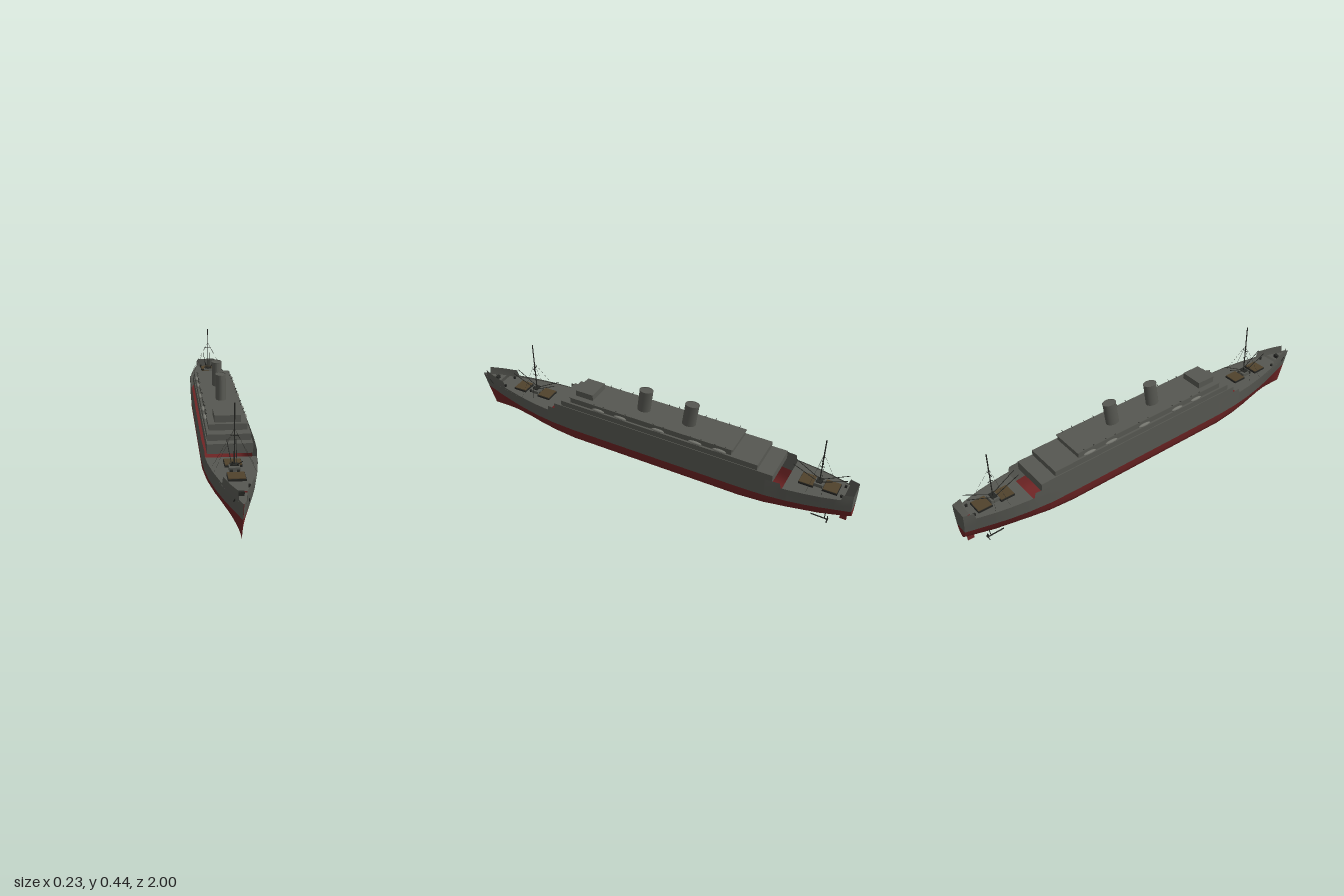
import * as THREE from 'three';

const mat = (name, color, side = THREE.FrontSide) => {
  const m = new THREE.MeshStandardMaterial({ color, side });
  m.name = name;
  return m;
};

export function createModel() {
  const ship = new THREE.Group();
  ship.name = 'ship';
  const grey = mat('hull grey', 0x565751, THREE.DoubleSide);
  const red = mat('bottom red', 0x6b2323, THREE.DoubleSide);
  const brown = mat('hatch brown', 0x50422c);
  const dark = mat('fitting black', 0x252623);
  const pale = mat('boat grey', 0x74756e);

  const add = (name, geo, material, x = 0, y = 0, z = 0) => {
    const m = new THREE.Mesh(geo, material);
    m.name = name;
    m.position.set(x, y, z);
    ship.add(m);
    return m;
  };
  // Box given by half width, bottom, top, front and back
  const block = (name, hw, y0, y1, zf, zb, material, x = 0) =>
    add(name, new THREE.BoxGeometry(hw * 2, y1 - y0, zf - zb), material, x, (y0 + y1) / 2, (zf + zb) / 2);
  // Thin round bar between two points
  const rod = (name, a, b, r, material = dark) => {
    const p = new THREE.Vector3(...a), q = new THREE.Vector3(...b);
    const m = add(name, new THREE.CylinderGeometry(r, r, p.distanceTo(q), 6), material);
    m.position.copy(p).add(q).multiplyScalar(0.5);
    m.quaternion.setFromUnitVectors(new THREE.Vector3(0, 1, 0), q.sub(p).normalize());
    return m;
  };
  // Surface through a list of cross-sections
  const loft = (rows) => {
    const n = rows[0].length, idx = [];
    for (let i = 0; i < rows.length - 1; i++)
      for (let j = 0; j < n - 1; j++) {
        const a = i * n + j, c = a + n;
        idx.push(a, a + 1, c, a + 1, c + 1, c);
      }
    const g = new THREE.BufferGeometry();
    g.setAttribute('position', new THREE.Float32BufferAttribute(rows.flat(2), 3));
    g.setIndex(idx);
    g.computeVertexNormals();
    return g;
  };

  // Hull stations: z, deck half width, waterline half width, keel height, V-ness
  const WL = 0.095;
  const stations = [
    [1, 0.001, 0.001, 0.002, 1], [0.95, 0.022, 0.013, 0.002, 1], [0.9, 0.04, 0.027, 0.002, 0.95],
    [0.8, 0.066, 0.053, 0.002, 0.8], [0.7, 0.087, 0.077, 0.002, 0.6], [0.6, 0.102, 0.096, 0.002, 0.35],
    [0.5, 0.11, 0.108, 0.002, 0.15], [0.38, 0.114, 0.114, 0.002, 0], [-0.5, 0.114, 0.114, 0.002, 0],
    [-0.62, 0.113, 0.111, 0.002, 0.15], [-0.72, 0.106, 0.1, 0.002, 0.4], [-0.8, 0.095, 0.086, 0.002, 0.65],
    [-0.86, 0.084, 0.072, 0.004, 0.8], [-0.93, 0.066, 0.053, 0.022, 0.8], [-1, 0.045, 0.034, 0.045, 0.6],
  ];
  const at = (z) => {
    let i = 0;
    while (i < stations.length - 2 && z < stations[i + 1][0]) i++;
    const a = stations[i], b = stations[i + 1], t = (a[0] - z) / (a[0] - b[0]);
    return a.map((v, k) => v + (b[k] - v) * t);
  };
  // Sheer line with the raised bulwarks
  const sheer = [[1, 0.168], [0.967, 0.172], [0.963, 0.206], [0.825, 0.203], [0.815, 0.172], [0.524, 0.165],
    [0.52, 0.19], [-0.69, 0.19], [-0.695, 0.165], [-0.95, 0.167], [-0.956, 0.195], [-1, 0.196]];
  const top = (z) => {
    let i = 0;
    while (i < sheer.length - 2 && z < sheer[i + 1][0]) i++;
    const [a, b] = [sheer[i], sheer[i + 1]];
    return a[1] + (b[1] - a[1]) * (a[0] - z) / (a[0] - b[0]);
  };
  const rake = (z, y) => z - 0.06 * Math.max(0, (z - 0.7) / 0.3) ** 2 * Math.max(0, 1 - y / 0.168);
  const bilge = [[1, 1], [0.98, 0.62], [0.9, 0.38], [0.75, 0.21], [0.53, 0.12], [0.26, 0.05], [0, 0]];
  const lower = (z) => {
    const [, , w, k, v] = at(z);
    const half = bilge.map(([fx, s]) => {
      const y = k + (WL - k) * s;
      return [w * (fx + (s ** 0.75 - fx) * v), y, rake(z, y)];
    });
    return [...half, ...half.slice(0, -1).reverse().map(([x, y, zz]) => [-x, y, zz])];
  };
  const upper = (z, side) => {
    const [, w, ww] = at(z), t = top(z);
    const pts = [1, 0.66, 0.33, 0].map((s) => {
      const y = WL + (t - WL) * s, f = Math.min(1, (y - WL) / 0.07);
      return [side * (ww + (w - ww) * f), y, rake(z, y)];
    });
    return side > 0 ? pts : pts.reverse();
  };
  const zs = [...stations, ...sheer].map((s) => s[0]);
  for (let z = 0.975; z > -1; z -= 0.05) zs.push(z);
  const cuts = [...new Set(zs)].sort((a, b) => b - a);
  add('lowerHull', loft(cuts.map(lower)), red);
  for (const s of [1, -1]) add('hullSide', loft(cuts.map((z) => upper(z, s))), grey);

  // Flat transom, split at the waterline
  const plate = (pts) => {
    const g = new THREE.ShapeGeometry(new THREE.Shape(pts.map((p) => new THREE.Vector2(-p[0], p[1]))));
    return g.rotateY(Math.PI);
  };
  add('transomLower', plate(lower(-1)), red, 0, 0, -1);
  add('transomUpper', plate([...upper(-1, 1), ...upper(-1, -1)]), grey, 0, 0, -1);

  // Open decks fore and aft
  const deck = (name, y, zf, zb) => {
    const rows = [];
    for (let i = 0; i <= 10; i++) {
      const z = zf + (zb - zf) * i / 10, w = at(z)[1] - 0.001;
      rows.push([[-w, y, z], [w, y, z]]);
    }
    add(name, loft(rows), grey);
  };
  deck('bowDeck', 0.163, 0.985, 0.885);
  deck('foreDeck', 0.161, 0.868, 0.52);
  deck('aftDeck', 0.161, -0.7, -0.957);

  // Stepped superstructure
  block('promenadeTier', 0.097, 0.165, 0.208, 0.49, -0.65, grey);
  block('middleTier', 0.093, 0.208, 0.236, 0.45, -0.575, grey);
  block('boatTier', 0.083, 0.236, 0.262, 0.4, -0.445, grey);
  block('boatDeckRoof', 0.085, 0.262, 0.266, 0.405, -0.45, grey);
  block('bridge', 0.057, 0.266, 0.297, 0.383, 0.288, grey);

  // Raked oval funnels
  for (const z of [0.033, -0.203]) {
    const g = new THREE.CylinderGeometry(0.024, 0.024, 0.118, 24, 1, true).scale(1, 1, 1.4);
    const p = g.attributes.position;
    for (let i = 0; i < p.count; i++) p.setZ(i, p.getZ(i) - p.getY(i) * 0.13);
    g.computeVertexNormals();
    add('funnel', g, grey, 0, 0.323, z);
    const cap = new THREE.CircleGeometry(0.024, 24).rotateX(-Math.PI / 2).scale(1, 1, 1.4);
    add('funnelTop', cap, grey, 0, 0.379, z - 0.0074);
    const rim = new THREE.TorusGeometry(0.024, 0.001, 6, 24).rotateX(Math.PI / 2).scale(1, 1, 1.4);
    add('funnelRim', rim, grey, 0, 0.381, z - 0.0076);
  }

  // Lifeboats and their davits
  for (const s of [1, -1])
    for (const z of [0.24, 0.12, -0.08, -0.27, -0.39]) {
      add('lifeboat', new THREE.SphereGeometry(1, 12, 8).scale(0.008, 0.008, 0.034), pale, s * 0.09, 0.245, z);
      for (const d of [0.026, -0.026])
        rod('davit', [s * 0.076, 0.262, z + d], [s * 0.088, 0.273, z + d], 0.0014);
    }

  // Masts with booms, crosstrees, stays, hatches and winches
  const rig = (z, h, hatches) => {
    rod('mast', [0, 0.16, z], [0, h, z], 0.0028);
    block('mastHouse', 0.022, 0.161, 0.178, z + 0.02, z - 0.02, grey);
    block('boomTable', 0.018, 0.183, 0.187, z + 0.013, z - 0.013, dark);
    rod('crosstree', [-0.018, 0.305, z], [0.018, 0.305, z], 0.0018);
    rod('lowerCrosstree', [0, 0.265, z - 0.012], [0, 0.265, z + 0.012], 0.0018);
    for (const s of [1, -1]) {
      for (const d of [1, -1]) {
        rod('boom', [s * 0.011, 0.187, z + d * 0.01], [s * 0.019, 0.245, z + d * 0.122], 0.0017);
        rod('stay', [0, 0.335, z], [s * 0.084, 0.167, z + d * 0.035], 0.0004);
        block('winch', 0.006, 0.161, 0.172, z + d * 0.028 + 0.005, z + d * 0.028 - 0.005, dark, s * 0.014);
      }
    }
    for (const c of hatches) {
      block('hatchCoaming', 0.036, 0.161, 0.17, c + 0.034, c - 0.034, dark);
      block('hatchCover', 0.034, 0.17, 0.173, c + 0.032, c - 0.032, brown);
    }
  };
  rig(0.66, 0.44, [0.6, 0.742]);
  rig(-0.835, 0.412, [-0.783, -0.892]);

  // Bow and stern fittings
  block('windlass', 0.012, 0.163, 0.178, 0.915, 0.9, dark);
  for (const s of [1, -1]) {
    block('bollard', 0.004, 0.161, 0.173, 0.835, 0.825, dark, s * 0.04);
    block('sternBollard', 0.004, 0.161, 0.173, -0.94, -0.95, dark, s * 0.035);
    rod('anchor', [s * 0.028, 0.145, 0.92], [s * 0.026, 0.163, 0.94], 0.003);
    // Propeller, shaft and bracket
    rod('propellerShaft', [s * 0.047, 0.022, -0.83], [s * 0.047, 0.02, -0.91], 0.003);
    rod('shaftBracket', [s * 0.047, 0.02, -0.893], [s * 0.033, 0.055, -0.893], 0.002);
    add('propellerHub', new THREE.SphereGeometry(0.0045, 10, 8), dark, s * 0.047, 0.02, -0.907);
    for (let i = 0; i < 3; i++) {
      const blade = new THREE.BoxGeometry(0.008, 0.016, 0.002).rotateY(0.5).translate(0, 0.009, 0);
      add('propellerBlade', blade.rotateZ(i * Math.PI * 2 / 3), dark, s * 0.047, 0.02, -0.907);
    }
  }
  block('rudder', 0.003, 0.01, 0.05, -0.95, -0.98, red);
  return ship;
}
